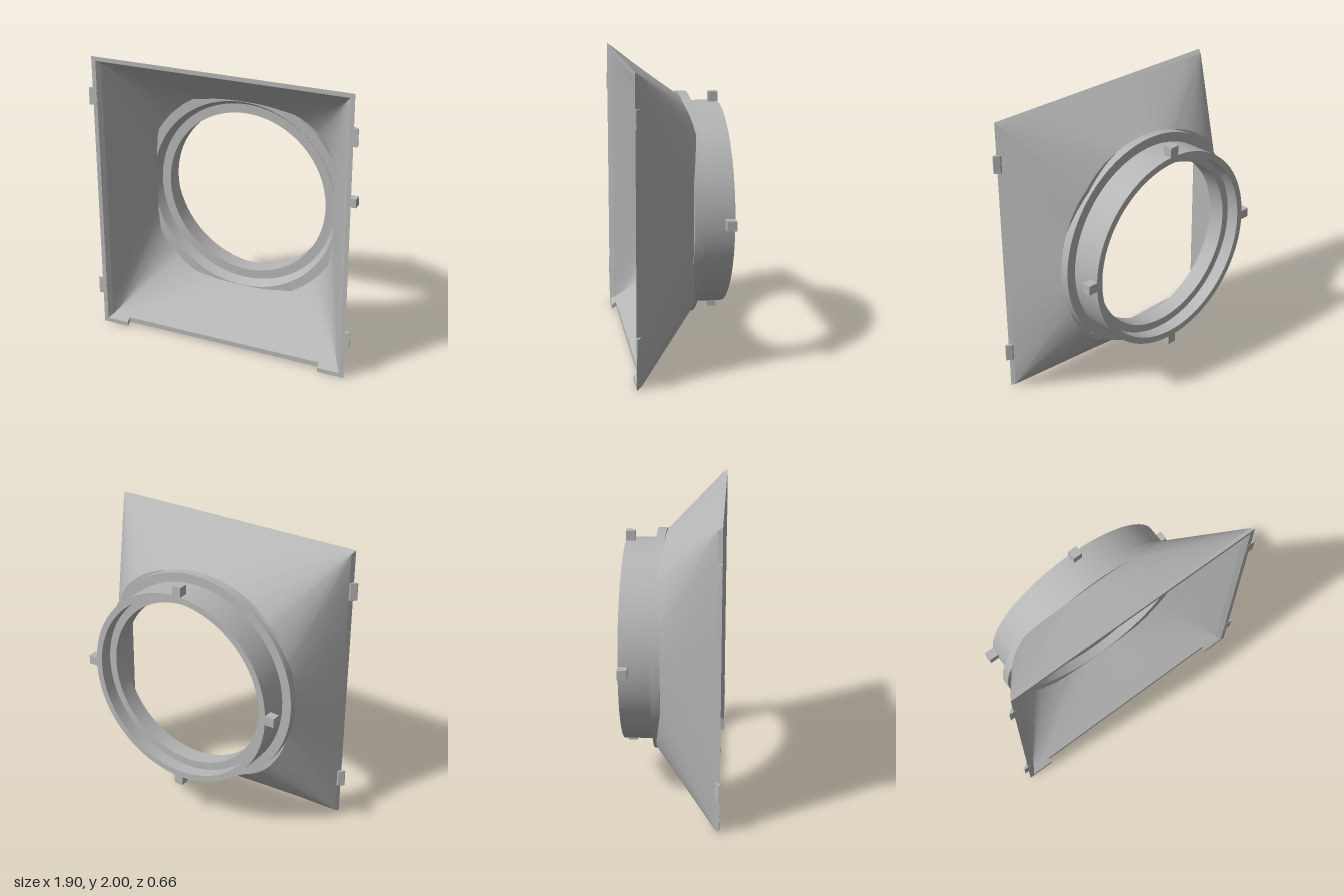
import * as THREE from 'three';
import { toCreasedNormals } from 'three/addons/utils/BufferGeometryUtils.js';

const CY = 1; // height of the duct axis
const STEPS = 96; // samples around the shroud

function geometryFrom(triangles) {
  const g = new THREE.BufferGeometry();
  g.setAttribute('position', new THREE.Float32BufferAttribute(triangles.flat(), 3));
  return toCreasedNormals(g, 0.45);
}

// angle measured from the middle of the nearest side, in degrees
const localAngle = (deg) => deg - 90 * Math.round(deg / 90);

// rectangular ring: side middles fan out flat, diagonals gather at the corners
function rectRing(hx, hy, z) {
  return Array.from({ length: STEPS }, (_, i) => {
    const deg = (i * 360) / STEPS;
    const side = Math.round(deg / 90) % 4;
    const u = THREE.MathUtils.clamp(localAngle(deg) / 22.5, -1, 1);
    const [x, y] = [[1, u], [-u, 1], [-1, -u], [u, -1]][side];
    return [x * hx, y * hy, z];
  });
}

// rounded ring that swells and dips backwards on the diagonals
function roundRing(rx, ry, diagonal) {
  return Array.from({ length: STEPS }, (_, i) => {
    const deg = (i * 360) / STEPS;
    const a = THREE.MathUtils.degToRad(deg);
    const swell = Math.sin(2 * a) ** 2;
    const dip = Math.max(0, (Math.abs(localAngle(deg)) - 22.5) / 22.5);
    const x = THREE.MathUtils.lerp(rx, diagonal, swell) * Math.cos(a);
    const y = THREE.MathUtils.lerp(ry, diagonal, swell) * Math.sin(a);
    return [x, y, -0.063 - 0.033 * dip];
  });
}

// closed skin through a cycle of rings
function loft(rings) {
  const tris = [];
  const same = (p, q) => p.every((v, k) => Math.abs(v - q[k]) < 1e-6);
  const add = (a, b, c) => {
    if (!same(a, b) && !same(b, c) && !same(a, c)) tris.push(...a, ...b, ...c);
  };
  rings.forEach((A, j) => {
    const B = rings[(j + 1) % rings.length];
    for (let i = 0; i < STEPS; i++) {
      const n = (i + 1) % STEPS;
      add(A[i], B[i], A[n]);
      add(A[n], B[i], B[n]);
    }
  });
  return geometryFrom(tris);
}

// prism between two four-point sections
function bar(S, E) {
  const tris = [S[0], S[1], S[2], S[0], S[2], S[3], E[0], E[2], E[1], E[0], E[3], E[2]];
  for (let k = 0; k < 4; k++) {
    const n = (k + 1) % 4;
    tris.push(S[k], E[k], S[n], S[n], E[k], E[n]);
  }
  return geometryFrom(tris);
}

export function createModel() {
  const model = new THREE.Group();
  model.name = 'ductAdapter';
  const grey = new THREE.MeshStandardMaterial({ color: 0xb5b5b5 });
  grey.name = 'grey plastic';
  const body = new THREE.Group();
  body.name = 'body';
  body.position.y = CY;
  model.add(body);
  const add = (name, geometry) => {
    const mesh = new THREE.Mesh(geometry, grey);
    mesh.name = name;
    body.add(mesh);
    return mesh;
  };

  // thin shroud from rectangle to circle
  add('shroud', loft([
    rectRing(0.905, 0.98, 0.3),
    roundRing(0.72, 0.735, 0.785),
    roundRing(0.665, 0.692, 0.757),
    rectRing(0.835, 0.91, 0.25),
    rectRing(0.865, 0.945, 0.3),
  ]));

  // bevelled front rim, with a wide notch in the bottom side
  const section = (sx, sy, x) => [
    [0.905, 0.98, 0.3], [0.92, 1, 0.33], [0.89, 0.97, 0.33], [0.865, 0.945, 0.3],
  ].map(([hx, hy, z]) => [x ?? sx * hx, sy * hy, z]);
  const br = section(1, -1), tr = section(1, 1), tl = section(-1, 1), bl = section(-1, -1);
  add('rimLeft', bar(br, tr));
  add('rimTop', bar(tr, tl));
  add('rimRight', bar(tl, bl));
  add('rimBottomRight', bar(bl, section(-1, -1, -0.73)));
  add('rimBottomLeft', bar(section(1, -1, 0.73), br));

  // pipe with flange, inner stop lip and chamfered mouth
  const profile = [
    [0.645, -0.33], [0.69, -0.33], [0.69, -0.12], [0.755, -0.12], [0.755, -0.06], [0.69, -0.06],
    [0.655, -0.12], [0.59, -0.12], [0.59, -0.24], [0.645, -0.24], [0.645, -0.33],
  ].map(([r, z]) => new THREE.Vector2(r, z));
  const pipe = new THREE.LatheGeometry(profile, 96);
  pipe.rotateX(Math.PI / 2);
  add('pipe', toCreasedNormals(pipe, 0.45));

  // bayonet lugs around the pipe end
  for (let k = 0; k < 4; k++) {
    const lug = add('lug', new THREE.BoxGeometry(0.08, 0.065, 0.063));
    const a = (k * Math.PI) / 2;
    lug.position.set(0.715 * Math.cos(a), 0.715 * Math.sin(a), -0.2985);
    lug.rotation.z = a;
  }

  // wedge clips on both sides of the rim
  for (const s of [-1, 1]) {
    for (const y of [-0.77, 0.66]) {
      const outline = [[0.895, 0.332], [0.95, 0.332], [0.95, 0.325], [0.915, 0.3], [0.895, 0.3]];
      const shape = new THREE.Shape(outline.map(([x, z]) => new THREE.Vector2(s * x, -z)));
      const clip = new THREE.ExtrudeGeometry(shape, { depth: 0.12, bevelEnabled: false });
      clip.rotateX(-Math.PI / 2);
      add('clip', clip).position.y = y;
    }
  }
  return model;
}
